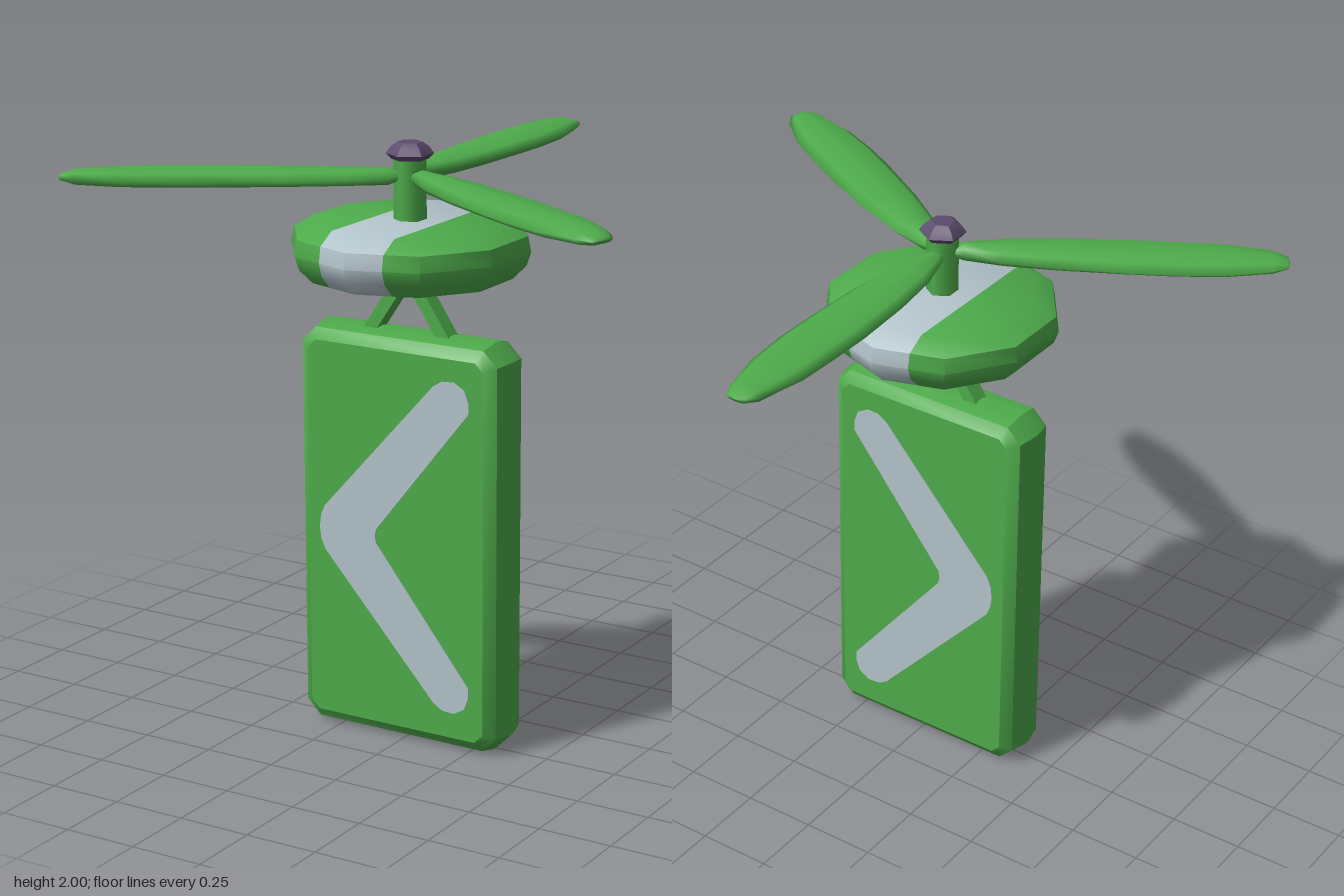
import * as THREE from 'three';
import { toCreasedNormals } from 'three/addons/utils/BufferGeometryUtils.js';

const material = (name, color) => {
  const m = new THREE.MeshStandardMaterial({ color });
  m.name = name;
  return m;
};
const polygon = (pts) => new THREE.Shape(pts.map(([x, y]) => new THREE.Vector2(x, y)));
const lathe = (pts, sides, crease) =>
  toCreasedNormals(new THREE.LatheGeometry(pts.map(([r, y]) => new THREE.Vector2(r, y)), sides), crease);

// Keep the part of a non-indexed geometry between x = lo and x = hi
function sliceX(geometry, lo, hi) {
  const p = geometry.attributes.position, n = geometry.attributes.normal;
  const pos = [], nor = [];
  const clip = (poly, sign, limit) => {
    const out = [];
    poly.forEach((a, i) => {
      const b = poly[(i + 1) % poly.length];
      const da = limit - sign * a[0], db = limit - sign * b[0];
      if (da >= 0) out.push(a);
      if (da * db < 0) out.push(a.map((v, k) => v + (b[k] - v) * da / (da - db)));
    });
    return out;
  };
  for (let t = 0; t < p.count; t += 3) {
    let poly = [t, t + 1, t + 2].map((i) =>
      [p.getX(i), p.getY(i), p.getZ(i), n.getX(i), n.getY(i), n.getZ(i)]);
    poly = clip(clip(poly, 1, hi), -1, -lo);
    for (let i = 1; i + 1 < poly.length; i++) {
      for (const v of [poly[0], poly[i], poly[i + 1]]) {
        pos.push(v[0], v[1], v[2]);
        nor.push(v[3], v[4], v[5]);
      }
    }
  }
  const g = new THREE.BufferGeometry();
  g.setAttribute('position', new THREE.Float32BufferAttribute(pos, 3));
  g.setAttribute('normal', new THREE.Float32BufferAttribute(nor, 3));
  return g;
}

// Flat oval blade pointing to -z; stations are [distance, left, right, half thickness]
function bladeGeometry() {
  const stations = [
    [0.02, 0, 0, 0], [0.02, -0.02, 0.015, 0.01], [0.07, -0.045, 0.03, 0.029],
    [0.2, -0.085, 0.065, 0.03], [0.38, -0.11, 0.085, 0.03], [0.6, -0.125, 0.093, 0.03],
    [0.75, -0.125, 0.093, 0.03], [0.91, -0.122, 0.078, 0.03], [1.06, -0.09, 0.038, 0.025],
    [1.11, -0.062, 0.015, 0.01], [1.115, -0.025, -0.025, 0],
  ];
  const sides = 8, pos = [], index = [];
  stations.forEach(([d, left, right, h], i) => {
    for (let j = 0; j < sides; j++) {
      const a = (j / sides) * Math.PI * 2;
      pos.push((left + right) / 2 + (right - left) / 2 * Math.cos(a), h * Math.sin(a), -d);
      if (i + 1 < stations.length) {
        const k = i * sides + j, l = i * sides + (j + 1) % sides;
        index.push(k, k + sides, l, l, k + sides, l + sides);
      }
    }
  });
  const g = new THREE.BufferGeometry();
  g.setAttribute('position', new THREE.Float32BufferAttribute(pos, 3));
  g.setIndex(index);
  g.computeVertexNormals();
  return g;
}

export function createModel() {
  const green = material('green', 0x4eab4b);
  const grey = material('pale grey', 0xb3c4cb);
  const purple = material('purple', 0x5c4c6d);

  const model = new THREE.Group();
  model.name = 'flyingSign';
  model.position.set(-0.015, 0, 0.252);
  const add = (name, geometry, mat) => {
    const mesh = new THREE.Mesh(geometry, mat);
    mesh.name = name;
    model.add(mesh);
    return mesh;
  };

  // Sign board with cut corners and bevelled edges
  const w = 0.332, h = 0.643, c = 0.03;
  const board = new THREE.ExtrudeGeometry(polygon([
    [-w + c, -h], [w - c, -h], [w, -h + c], [w, h - c],
    [w - c, h], [-w + c, h], [-w, h - c], [-w, -h + c],
  ]), { depth: 0.02, bevelThickness: 0.095, bevelSize: 0.05, bevelSegments: 2 });
  board.translate(0, 0.693, -0.01);
  add('signBoard', toCreasedNormals(board, 0.6), green);

  // Chevron plates on both faces
  const upper = [
    [0.28, 1.165], [0.28, 1.2], [0.265, 1.24], [0.225, 1.263], [0.18, 1.26],
    [0.148, 1.24], [-0.27, 0.775], [-0.285, 0.74],
  ];
  const mirrored = upper.map(([x, y]) => [x, 1.4 - y]).reverse();
  const chevron = new THREE.ExtrudeGeometry(
    polygon([[-0.075, 0.7], [-0.07, 0.725], ...upper, [-0.29, 0.7], ...mirrored, [-0.07, 0.675]]),
    { depth: 0.008, bevelEnabled: false });
  add('frontChevron', chevron, grey).position.z = 0.1;
  add('backChevron', chevron, grey).position.z = -0.108;

  // V-shaped hanger between board and body
  const hanger = new THREE.ExtrudeGeometry(polygon([
    [-0.168, 1.37], [-0.118, 1.37], [0, 1.545], [0.118, 1.37],
    [0.168, 1.37], [0.028, 1.58], [-0.028, 1.58],
  ]), { depth: 0.06, bevelEnabled: false });
  hanger.translate(0, 0, -0.03);
  add('hanger', hanger, green);

  // Ten-sided rotor body, split into green sides and a pale stripe
  const body = lathe([
    [0, 1.57], [0.335, 1.57], [0.38, 1.615], [0.395, 1.66],
    [0.385, 1.712], [0.32, 1.75], [0, 1.75],
  ], 10, 0.72);
  const s = 0.116;
  add('bodyRight', sliceX(body, -1, -s), green);
  add('bodyStripe', sliceX(body, -s, s), grey);
  add('bodyLeft', sliceX(body, s, 1), green);

  // Mast and cap, both six-sided
  const mast = new THREE.CylinderGeometry(0.053, 0.053, 0.21, 6);
  mast.translate(0, 1.845, 0);
  add('mast', mast, green);
  add('mastCap', lathe([
    [0, 1.945], [0.06, 1.945], [0.077, 1.963], [0.062, 1.985], [0.04, 2], [0, 2],
  ], 6, 0.6), purple);

  // Three propeller blades
  const blade = bladeGeometry();
  for (let i = 0; i < 3; i++) {
    const b = add('blade' + (i + 1), blade, green);
    b.position.y = 1.89;
    b.rotation.y = (i * Math.PI * 2) / 3;
  }

  const root = new THREE.Group();
  root.add(model);
  return root;
}
